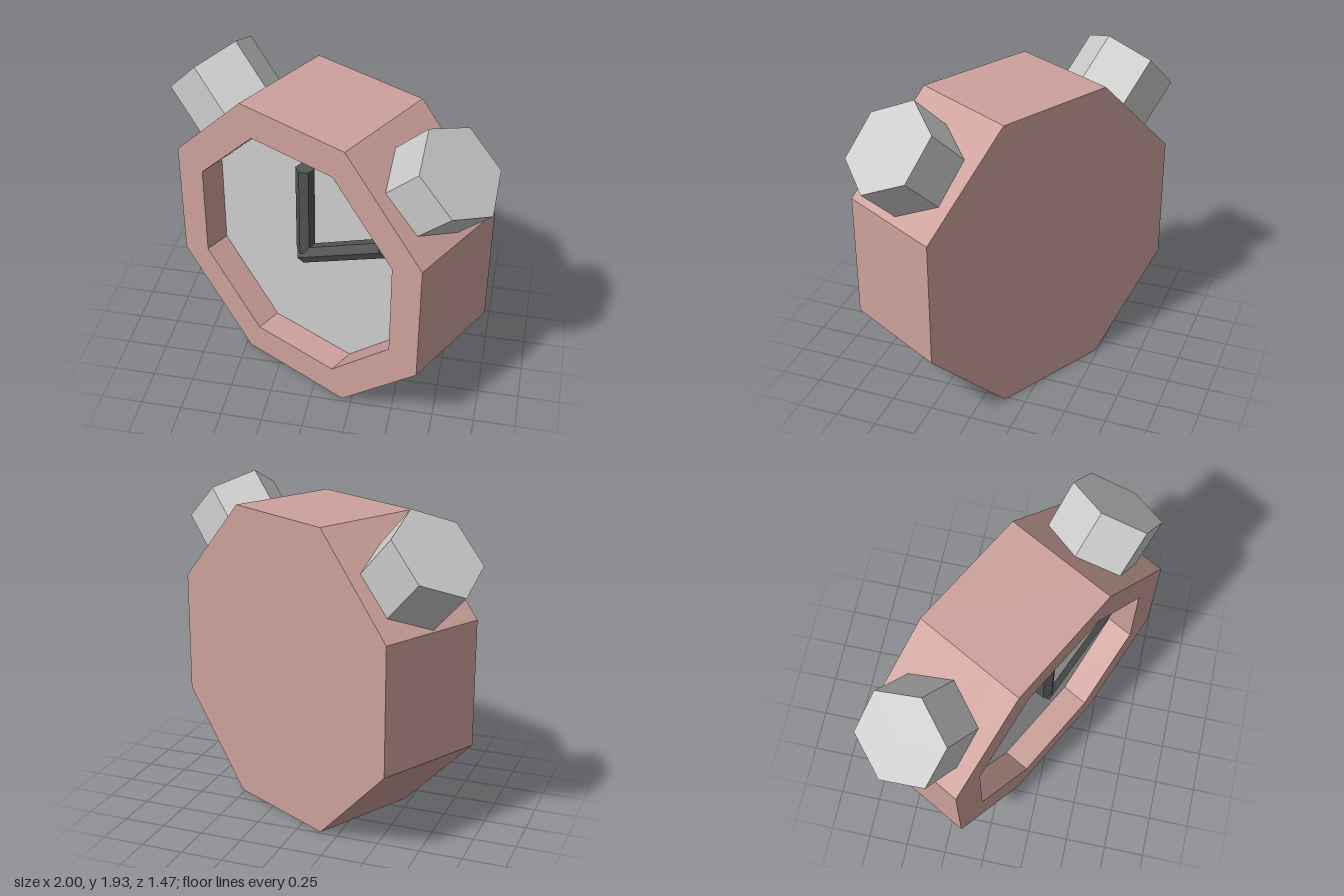
import * as THREE from 'three';

const RADIANS = Math.PI / 180;
const APOTHEM = 0.91;
const DEPTH = 0.69;
const RECESS = 0.173;
const OPENING = 0.7125;

// corners of an upright regular octagon with flat top and bottom
function octagon(apothem) {
  const r = apothem / Math.cos(Math.PI / 8);
  return Array.from({ length: 8 }, (_, i) => {
    const a = (i + 0.5) * Math.PI / 4;
    return new THREE.Vector2(r * Math.cos(a), r * Math.sin(a));
  });
}

function add(parent, name, geometry, material) {
  const mesh = new THREE.Mesh(geometry, material);
  mesh.name = name;
  parent.add(mesh);
  return mesh;
}

export function createModel() {
  const paint = new THREE.MeshStandardMaterial({ color: 0xcda19b, flatShading: true });
  const grey = new THREE.MeshStandardMaterial({ color: 0xcccccc, flatShading: true });
  const dark = new THREE.MeshStandardMaterial({ color: 0x555555, flatShading: true });

  const model = new THREE.Group();
  model.name = 'alarmClock';
  const clock = new THREE.Group();
  clock.name = 'clock';
  clock.position.set(0.025, APOTHEM, -0.005);
  clock.rotation.y = -28.3 * RADIANS;
  model.add(clock);

  const floorZ = DEPTH / 2 - RECESS;

  // solid rear of the case
  const rear = new THREE.ExtrudeGeometry(new THREE.Shape(octagon(APOTHEM)),
    { depth: DEPTH - RECESS, bevelEnabled: false });
  add(clock, 'caseBody', rear, paint).position.z = -DEPTH / 2;

  // front rim around the recessed face
  const rimShape = new THREE.Shape(octagon(APOTHEM));
  rimShape.holes.push(new THREE.Path(octagon(OPENING)));
  const rim = new THREE.ExtrudeGeometry(rimShape, { depth: RECESS, bevelEnabled: false });
  add(clock, 'caseRim', rim, paint).position.z = floorZ;

  // clock face
  const face = new THREE.ShapeGeometry(new THREE.Shape(octagon(OPENING)));
  add(clock, 'clockFace', face, grey).position.z = floorZ + 0.002;

  // six-sided hands; angle is measured clockwise from twelve
  const hands = [
    { name: 'hourHand', x: 0, y: 0, length: 0.58, angle: 0 },
    { name: 'minuteHand', x: -0.02, y: -0.045, length: 0.69, angle: 60 },
  ];
  for (const { name, x, y, length, angle } of hands) {
    const geometry = new THREE.CylinderGeometry(0.055, 0.055, length, 6);
    geometry.translate(0, length / 2, 0);
    const hand = add(clock, name, geometry, dark);
    hand.position.set(x, y, floorZ + 0.057);
    hand.rotation.z = -angle * RADIANS;
  }

  // six-sided bells on the upper slanted sides
  const bells = [
    { name: 'leftBell', side: 1, top: [0.884, 0.82], length: 0.3, twist: 5 },
    { name: 'rightBell', side: -1, top: [0.93, 0.82], length: 0.335, twist: 2 },
  ];
  for (const { name, side, top, length, twist } of bells) {
    const geometry = new THREE.CylinderGeometry(0.288, 0.288, length, 6);
    geometry.translate(0, -length / 2, 0);
    geometry.rotateY((30 + twist) * RADIANS);
    const bell = add(clock, name, geometry, grey);
    bell.position.set(side * top[0], top[1], 0);
    bell.rotation.z = -side * Math.PI / 4;
  }

  return model;
}
